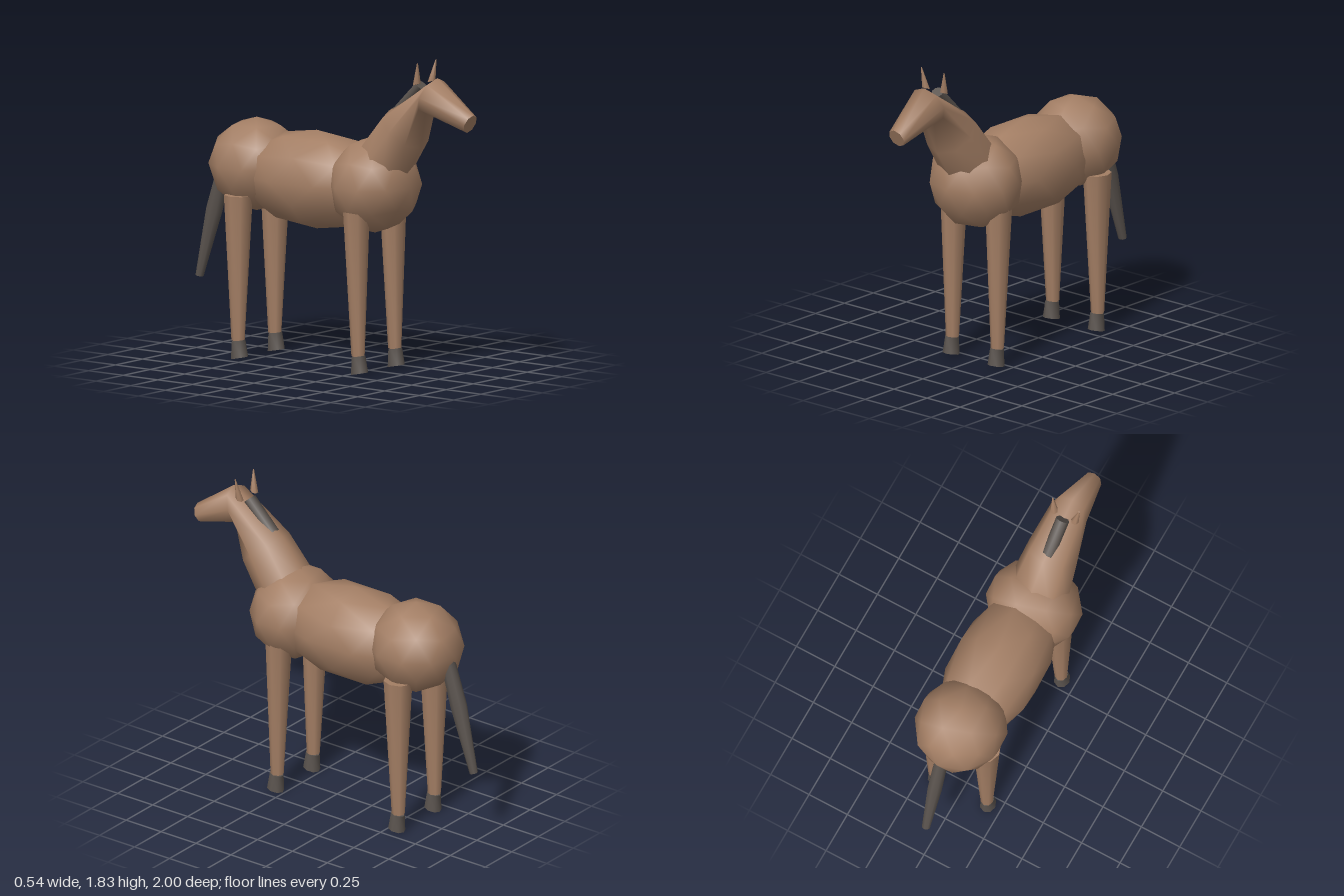
import * as THREE from 'three';

const coat = new THREE.MeshStandardMaterial({ color: 0xa37e64 });
coat.name = 'brown coat';
const dark = new THREE.MeshStandardMaterial({ color: 0x5a534e });
dark.name = 'dark hoof and hair';

// Capped tube through oval rings. Each ring is [x, z0, y0, z1, y1, halfWidth]:
// two opposite points of the oval in the side plane plus its half width in x.
function loft(rings, sides) {
  const pos = [], index = [];
  const point = ([x, z0, y0, z1, y1, w], j) => {
    const a = (j / sides) * Math.PI * 2, c = Math.cos(a), s = Math.sin(a);
    pos.push(x + w * c, (y0 + y1) / 2 + (y1 - y0) / 2 * s, (z0 + z1) / 2 + (z1 - z0) / 2 * s);
  };
  rings.forEach((ring, i) => {
    for (let j = 0; j < sides; j++) {
      point(ring, j);
      if (i === 0) continue;
      const k = (j + 1) % sides, lo = (i - 1) * sides, hi = i * sides;
      index.push(lo + j, lo + k, hi + j, lo + k, hi + k, hi + j);
    }
  });
  // End caps with their own vertices, so that the rims stay sharp
  [rings[0], rings[rings.length - 1]].forEach((ring, end) => {
    const start = pos.length / 3;
    for (let j = 0; j < sides; j++) point(ring, j);
    for (let j = 1; j < sides - 1; j++) {
      if (end) index.push(start, start + j, start + j + 1);
      else index.push(start, start + j + 1, start + j);
    }
  });
  const g = new THREE.BufferGeometry();
  g.setAttribute('position', new THREE.Float32BufferAttribute(pos, 3));
  g.setIndex(index);
  g.computeVertexNormals();
  return g;
}

// Faceted ball with a corner at the top, stretched to the given radii
function ball(rx, ry, rz) {
  return new THREE.IcosahedronGeometry(1, 1)
    .rotateX(-Math.atan2((1 + Math.sqrt(5)) / 2, 1))
    .rotateY(Math.PI / 2)
    .scale(rx, ry, rz);
}

export function createModel() {
  const model = new THREE.Group();
  model.name = 'horse';
  const add = (name, geometry, material, x = 0, y = 0, z = 0) => {
    const mesh = new THREE.Mesh(geometry, material);
    mesh.name = name;
    mesh.position.set(x, y, z);
    model.add(mesh);
  };

  // Body
  add('chest', ball(0.285, 0.28, 0.26), coat, 0, 1.08, 0.29);
  add('barrel', ball(0.268, 0.285, 0.53), coat, 0, 1.065, -0.13);
  add('rump', ball(0.268, 0.27, 0.28), coat, 0, 1.11, -0.565);

  // Neck bending forward at the poll into the head
  add('neckAndHead', loft([
    [0, 0.46, 1.07, 0.2, 1.28, 0.185],
    [0, 0.625, 1.32, 0.39, 1.515, 0.155],
    [0, 0.655, 1.53, 0.74, 1.74, 0.115],
    [0, 0.955, 1.445, 1.0, 1.55, 0.055],
  ], 8), coat);

  add('mane', loft([
    [0, 0.39, 1.4, 0.34, 1.45, 0.04],
    [0, 0.65, 1.665, 0.6, 1.71, 0.04],
  ], 8), dark);

  add('tail', loft([
    [0, -0.82, 1.13, -0.74, 1.1, 0.04],
    [0, -0.92, 0.83, -0.82, 0.8, 0.043],
    [0, -1.0, 0.425, -0.955, 0.415, 0.025],
  ], 8), dark);

  for (const [side, s] of [['left', 1], ['right', -1]]) {
    add(side + 'Ear', loft([
      [s * 0.068, 0.668, 1.71, 0.622, 1.695, 0.024],
      [s * 0.086, 0.667, 1.83, 0.661, 1.828, 0.004],
    ], 6), coat);

    // Legs and hooves: [name, z at top, radius at top, z at ankle]
    for (const [name, zTop, rTop, z] of [['Front', 0.288, 0.077, 0.3], ['Hind', -0.565, 0.088, -0.567]]) {
      add(side + name + 'Leg', loft([
        [s * 0.17, zTop - rTop, 0.95, zTop + rTop, 0.95, 0.077],
        [s * 0.17, z - 0.039, 0.11, z + 0.039, 0.11, 0.037],
      ], 8), coat);
      add(side + name + 'Hoof', loft([
        [s * 0.17, z - 0.038, 0.102, z + 0.045, 0.116, 0.037],
        [s * 0.17, z - 0.04, 0, z + 0.062, 0.02, 0.047],
      ], 8), dark);
    }
  }
  return model;
}
